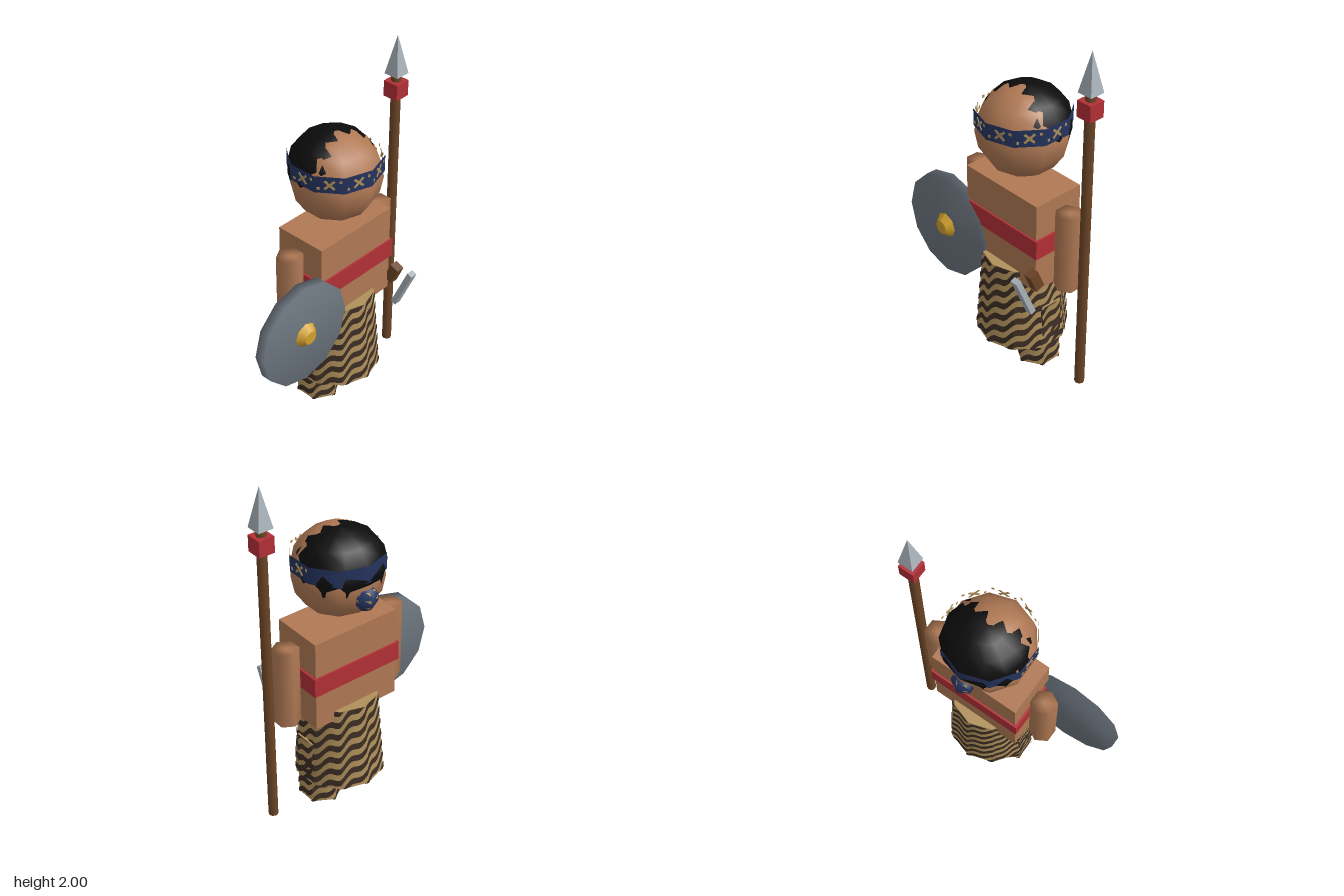
import * as THREE from 'three';
import { mergeVertices } from 'three/addons/utils/BufferGeometryUtils.js';

const mat = (name, color) => {
  const m = new THREE.MeshStandardMaterial({ color });
  m.name = name;
  return m;
};

// flat normals on every face
function faceted(geo) {
  const g = geo.toNonIndexed();
  g.computeVertexNormals();
  return g;
}

// one smooth normal per corner, caps included
function smoothed(geo) {
  geo.deleteAttribute('uv');
  geo.deleteAttribute('normal');
  const g = mergeVertices(geo, 1e-4);
  g.computeVertexNormals();
  return g;
}

function fromPoints(pts) {
  const g = new THREE.BufferGeometry();
  g.setAttribute('position', new THREE.Float32BufferAttribute(pts, 3));
  g.computeVertexNormals();
  return g;
}

// wavy diagonal ribbons wrapped around a tapered prism standing on y = 0
function waveRibbons(rTop, rBottom, height, sides, waves) {
  const spacing = 0.075, perSide = 14, steps = sides * perSide, lift = 0.004;
  const pts = [];
  const point = (i, y) => {
    const r = THREE.MathUtils.lerp(rBottom, rTop, y / height) + lift;
    const side = Math.floor(i / perSide), t = (i % perSide) / perSide;
    const a = (side / sides) * Math.PI * 2, b = ((side + 1) / sides) * Math.PI * 2;
    return [r * THREE.MathUtils.lerp(Math.sin(a), Math.sin(b), t), y,
      r * THREE.MathUtils.lerp(Math.cos(a), Math.cos(b), t)];
  };
  const level = (i, k) => {
    const w = (waves * i) / steps;
    return THREE.MathUtils.clamp(spacing * (k + w + 0.2 * Math.sin(w * Math.PI * 2)), 0, height);
  };
  for (let k = -waves - 1; k <= height / spacing + 1; k++) {
    for (let i = 0; i < steps; i++) {
      const lo0 = level(i, k - 0.25), hi0 = level(i, k + 0.25);
      const lo1 = level(i + 1, k - 0.25), hi1 = level(i + 1, k + 0.25);
      if (hi0 - lo0 + hi1 - lo1 < 1e-5) continue;
      const a = point(i, lo0), b = point(i + 1, lo1), c = point(i + 1, hi1), d = point(i, hi0);
      pts.push(...a, ...b, ...c, ...a, ...c, ...d);
    }
  }
  return fromPoints(pts);
}

// shrunken copies of every second face, lifted off the surface
function faceSpots(geo, scale, lift) {
  const p = geo.toNonIndexed().attributes.position, pts = [];
  for (let i = 0; i < p.count; i += 6) {
    const v = [0, 1, 2].map(j => new THREE.Vector3().fromBufferAttribute(p, i + j));
    const mid = v[0].clone().add(v[1]).add(v[2]).divideScalar(3);
    const n = v[1].clone().sub(v[0]).cross(v[2].clone().sub(v[0])).normalize();
    v.forEach(q => pts.push(...q.sub(mid).multiplyScalar(scale).add(mid).addScaledVector(n, lift).toArray()));
  }
  return fromPoints(pts);
}

export function createModel() {
  const skin = mat('skin', 0xb07954), red = mat('red cloth', 0xb23036), iron = mat('shield iron', 0x6c757e);
  const steel = mat('bright steel', 0xaab3bb), wood = mat('wood', 0x6c4526), gold = mat('gold', 0xd2a02c);
  const blue = mat('blue cloth', 0x25345f), hairMat = mat('black hair', 0x0c0c0c);
  const tan = mat('tan cloth', 0xaf905a), dark = mat('dark stripe', 0x3d2e25);

  const model = new THREE.Group();
  model.name = 'spearman';
  const CX = 0.108, CZ = -0.02; // body axis
  const add = (name, geo, material, x, y, z, parent = model) => {
    const m = new THREE.Mesh(geo, material);
    m.name = name;
    m.position.set(x, y, z);
    parent.add(m);
    return m;
  };
  const box = (w, h, d) => new THREE.BoxGeometry(w, h, d);
  const cyl = (rt, rb, h, n) => new THREE.CylinderGeometry(rt, rb, h, n);
  const ball = (r, w, h) => new THREE.SphereGeometry(r, w, h, Math.PI / 2);

  // torso and sash
  add('torso', box(0.53, 0.53, 0.305), skin, CX, 0.84, CZ + 0.002);
  add('sash', box(0.556, 0.11, 0.326), red, CX, 0.845, CZ + 0.002);

  // arms and legs
  for (const [side, s] of [['left', 1], ['right', -1]]) {
    add(side + 'Arm', smoothed(cyl(0.073, 0.073, 0.455, 6)), skin, CX + s * 0.342, 0.813, CZ);
    add(side + 'Leg', cyl(0.122, 0.122, 0.4, 6), tan, CX + s * 0.128, 0.2, CZ);
    add(side + 'LegStripes', waveRibbons(0.122, 0.122, 0.4, 6, 6), dark, CX + s * 0.128, 0, CZ);
  }

  // skirt with wavy stripes
  add('skirt', cyl(0.215, 0.252, 0.5, 10), tan, CX, 0.385, CZ);
  add('skirtStripes', waveRibbons(0.215, 0.252, 0.5, 10, 12), dark, CX, 0.135, CZ);

  // head and hair
  add('head', ball(0.25, 10, 8), skin, CX, 1.385, CZ);
  const hair = add('hair', ball(1, 12, 8), hairMat, CX, 1.43, -0.043);
  hair.scale.set(0.243, 0.207, 0.23);

  // headband with crossed flowers and small dots
  const band = new THREE.Group();
  band.name = 'headband';
  band.position.set(CX, 1.468, CZ);
  model.add(band);
  const sides = 10, bandR = 0.253, apothem = bandR * Math.cos(Math.PI / sides);
  const bandGeo = new THREE.CylinderGeometry(bandR, bandR, 0.095, sides, 1, true);
  add('bandCloth', bandGeo, blue, 0, 0, 0, band);
  for (let i = 0; i < sides; i++) {
    const panel = new THREE.Group();
    panel.name = 'bandFlower';
    panel.rotation.y = ((i + 0.5) / sides) * Math.PI * 2;
    band.add(panel);
    if (Math.cos(panel.rotation.y) < -0.5) continue; // under the hair
    for (const s of [1, -1]) {
      add('petal', box(0.07, 0.013, 0.003), tan, 0, 0, apothem + 0.001, panel).rotation.z = s * 0.75;
      add('dot', box(0.014, 0.014, 0.003), tan, s * 0.058, s * 0.022, apothem + 0.001, panel);
    }
  }

  // knot at the back of the headband
  const knotGeo = ball(0.07, 6, 5);
  add('knot', knotGeo, blue, CX, 1.317, -0.237);
  add('knotSpots', faceSpots(knotGeo, 0.5, 0.002), tan, CX, 1.317, -0.237);

  // round shield
  const shield = new THREE.Group();
  shield.name = 'shield';
  shield.position.set(-0.308, 0.66, 0.132);
  shield.rotation.x = Math.PI / 2;
  model.add(shield);
  add('shieldDisc', smoothed(cyl(0.302, 0.302, 0.063, 12)), iron, 0, 0, 0, shield);
  add('shieldBoss', cyl(0.04, 0.073, 0.038, 8), gold, 0, 0.05, 0, shield);

  // spear
  const spear = new THREE.Group();
  spear.name = 'spear';
  spear.position.set(0.565, 0, CZ);
  model.add(spear);
  add('shaft', cyl(0.027, 0.027, 1.78, 8), wood, 0, 0.89, 0, spear);
  add('collar', box(0.09, 0.09, 0.09), red, 0, 1.694, 0, spear);
  const tip = new THREE.ConeGeometry(0.062, 0.22, 4).rotateY(Math.PI / 4);
  add('spearTip', faceted(tip), steel, 0, 1.89, 0, spear);

  // dagger at the hip
  add('daggerBlade', box(0.043, 0.272, 0.032), steel, 0.389, 0.61, 0.235).rotation.x = 0.41;
  add('daggerHandle', box(0.05, 0.115, 0.055), wood, 0.389, 0.677, 0.16).rotation.x = 0.41;

  return model;
}
